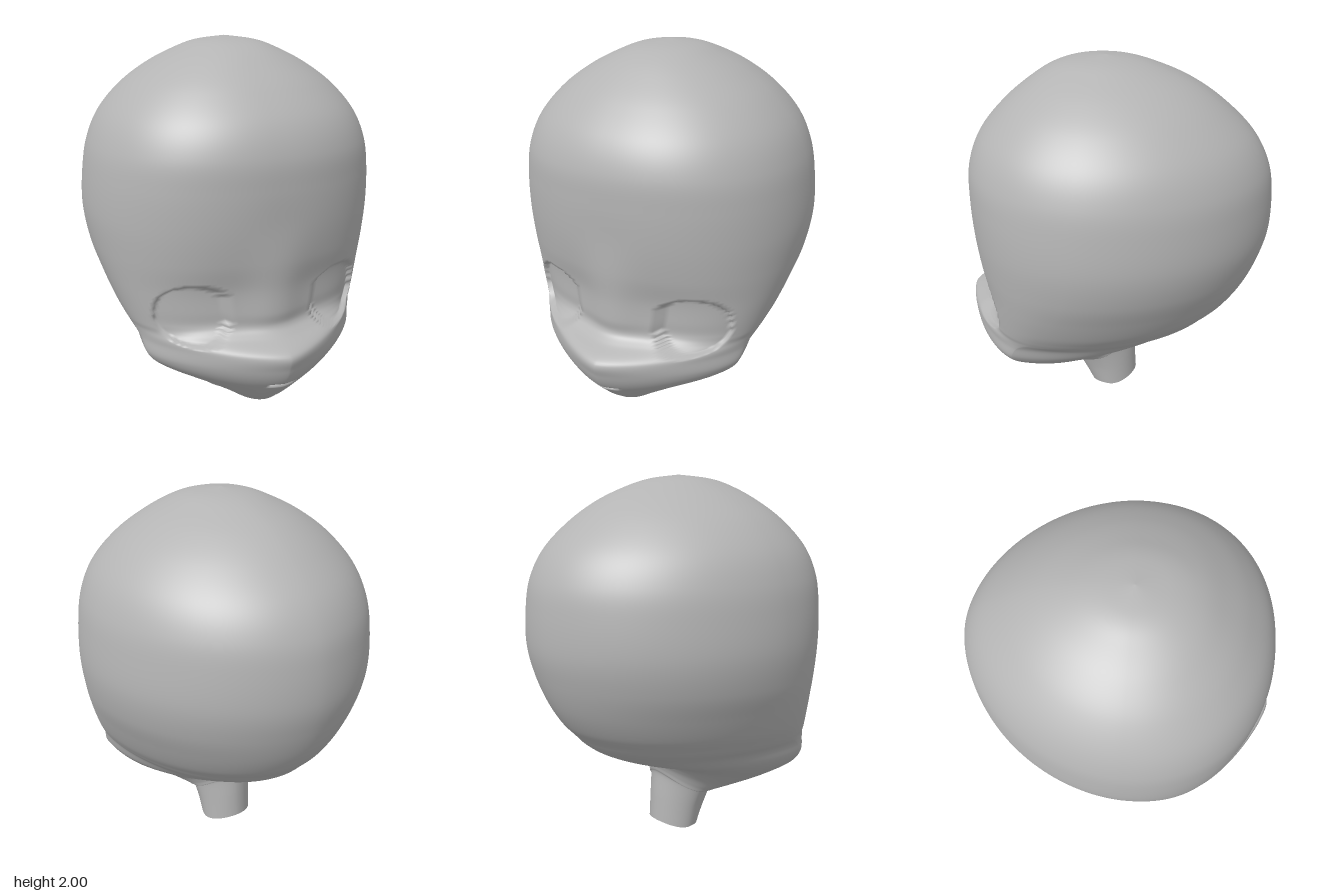
import * as THREE from 'three';

const SEG = 160, SUB = 10;

// Crown rings, level: y, front z, back z, half width
const crown = [
  [2.0, 0.02, 0.02, 0],
  [1.98, 0.19, -0.14, 0.15],
  [1.94, 0.31, -0.28, 0.26],
  [1.87, 0.42, -0.44, 0.40],
  [1.77, 0.54, -0.59, 0.54],
  [1.64, 0.65, -0.73, 0.655],
  [1.5, 0.705, -0.81, 0.72],
  [1.35, 0.713, -0.84, 0.75],
  [1.17, 0.705, -0.845, 0.762],
];

// Face, jaw and neck rings, tilted:
// front y, front z, centre ridge, front squareness, half width, side y, side z, back z, back y
const face = [
  [1.0, 0.68, 0.02, 2.25, 0.742, 1.0, 0.05, -0.815, 1.02],
  [0.86, 0.645, 0.045, 2.3, 0.705, 0.86, 0.12, -0.765, 0.88],
  [0.74, 0.64, 0.05, 2.3, 0.665, 0.74, 0.18, -0.7, 0.765],
  [0.67, 0.645, 0.04, 2.2, 0.635, 0.67, 0.24, -0.635, 0.69],
  [0.63, 0.70, 0.03, 1.9, 0.615, 0.63, 0.28, -0.59, 0.64],
  [0.58, 0.83, 0.01, 1.45, 0.59, 0.58, 0.36, -0.51, 0.58],
  [0.50, 0.83, 0, 1.4, 0.57, 0.5, 0.4, -0.4, 0.525],
  [0.42, 0.795, 0, 1.45, 0.515, 0.43, 0.38, -0.29, 0.495],
  [0.33, 0.72, 0, 1.6, 0.40, 0.35, 0.3, -0.2, 0.47],
  [0.25, 0.64, 0, 1.8, 0.29, 0.29, 0.22, -0.17, 0.44],
  [0.19, 0.55, 0, 2, 0.22, 0.26, 0.12, -0.155, 0.41],
  [0.20, 0.38, 0, 2, 0.19, 0.25, 0.06, -0.148, 0.385],
  [0.22, 0.24, 0, 2, 0.175, 0.26, 0.04, -0.14, 0.35],
  [0.12, 0.175, 0, 2, 0.155, 0.16, 0, -0.15, 0.23],
  [0.0, 0.11, 0, 2, 0.145, 0.04, -0.025, -0.16, 0.08],
];

const rings = crown
  .map(([y, zf, zb, w]) => [y, zf, 0, 2.2, w, y, 0.02, zb, y])
  .concat(face);

// Smooth blend through the rings
function ringAt(u) {
  const i = Math.min(Math.floor(u), rings.length - 2), t = u - i;
  const p = k => rings[THREE.MathUtils.clamp(i + k, 0, rings.length - 1)];
  return rings[0].map((_, c) => {
    const a = p(-1)[c], b = p(0)[c], d = p(1)[c], e = p(2)[c];
    return b + 0.5 * t * (d - a + t * (2 * a - 5 * b + 4 * d - e + t * (3 * (b - d) + e - a)));
  });
}

// Recesses for the eye sockets and the mouth
function recess(x, y) {
  const dx = Math.abs(x) - 0.385;
  const eye = Math.pow(Math.abs(dx / 0.168), 2.4) + Math.pow(Math.abs((y - 0.745) / 0.15), 2.4);
  const socket = 0.035 * (1 - THREE.MathUtils.smoothstep(eye, 0.84, 1.0));
  const dy = (y - 0.397) / 0.014;
  const lip = (x / 0.085) ** 2 + dy * dy;
  const mouth = lip < 1 ? 0.02 * (1 + dy) * Math.min(1, 3 * (1 - lip)) : 0;
  return socket + mouth;
}

function ringPoint(r, t) {
  const [yf, zf, ridge, nf, w, ys, zs, zb, yb] = r;
  const s = Math.sin(t), c = Math.cos(t), front = c > 0;
  const e = 2 / (front ? nf : 1.85);
  const x = w * Math.sign(s) * Math.pow(Math.abs(s), e);
  const y = ys + ((front ? yf : yb) - ys) * c * c;
  let z = zs + ((front ? zf : zb) - zs) * Math.pow(Math.abs(c), e);
  if (front) z += ridge * c * Math.exp(-((x / 0.15) ** 2)) - recess(x, y);
  return [x, y, z];
}

function meshOf(name, positions, index, material) {
  const g = new THREE.BufferGeometry();
  g.setAttribute('position', new THREE.Float32BufferAttribute(positions, 3));
  g.setIndex(index);
  g.computeVertexNormals();
  const m = new THREE.Mesh(g, material);
  m.name = name;
  return m;
}

export function createModel() {
  const group = new THREE.Group();
  group.name = 'headSculpt';
  const clay = new THREE.MeshStandardMaterial({ color: 0xb4b4b4 });
  clay.name = 'grey clay';

  // Head and neck skin, from crown to the neck's lower rim
  const pos = [], idx = [], rows = (rings.length - 1) * SUB;
  for (let i = 0; i <= rows; i++) {
    const r = ringAt(i / SUB);
    for (let j = 0; j < SEG; j++) pos.push(...ringPoint(r, (j / SEG) * Math.PI * 2));
  }
  for (let i = 0; i < rows; i++) {
    for (let j = 0; j < SEG; j++) {
      const k = (j + 1) % SEG;
      const a = i * SEG + j, b = i * SEG + k, c = a + SEG, d = b + SEG;
      if (i > 0) idx.push(a, c, b);
      idx.push(b, c, d);
    }
  }
  group.add(meshOf('head', pos, idx, clay));

  // Flat end of the neck
  const capPos = [0, 0.04, -0.025], capIdx = [];
  for (let j = 0; j < SEG; j++) {
    capPos.push(...ringPoint(rings[rings.length - 1], (j / SEG) * Math.PI * 2));
    capIdx.push(0, 1 + ((j + 1) % SEG), 1 + j);
  }
  group.add(meshOf('neckEnd', capPos, capIdx, clay));
  return group;
}
